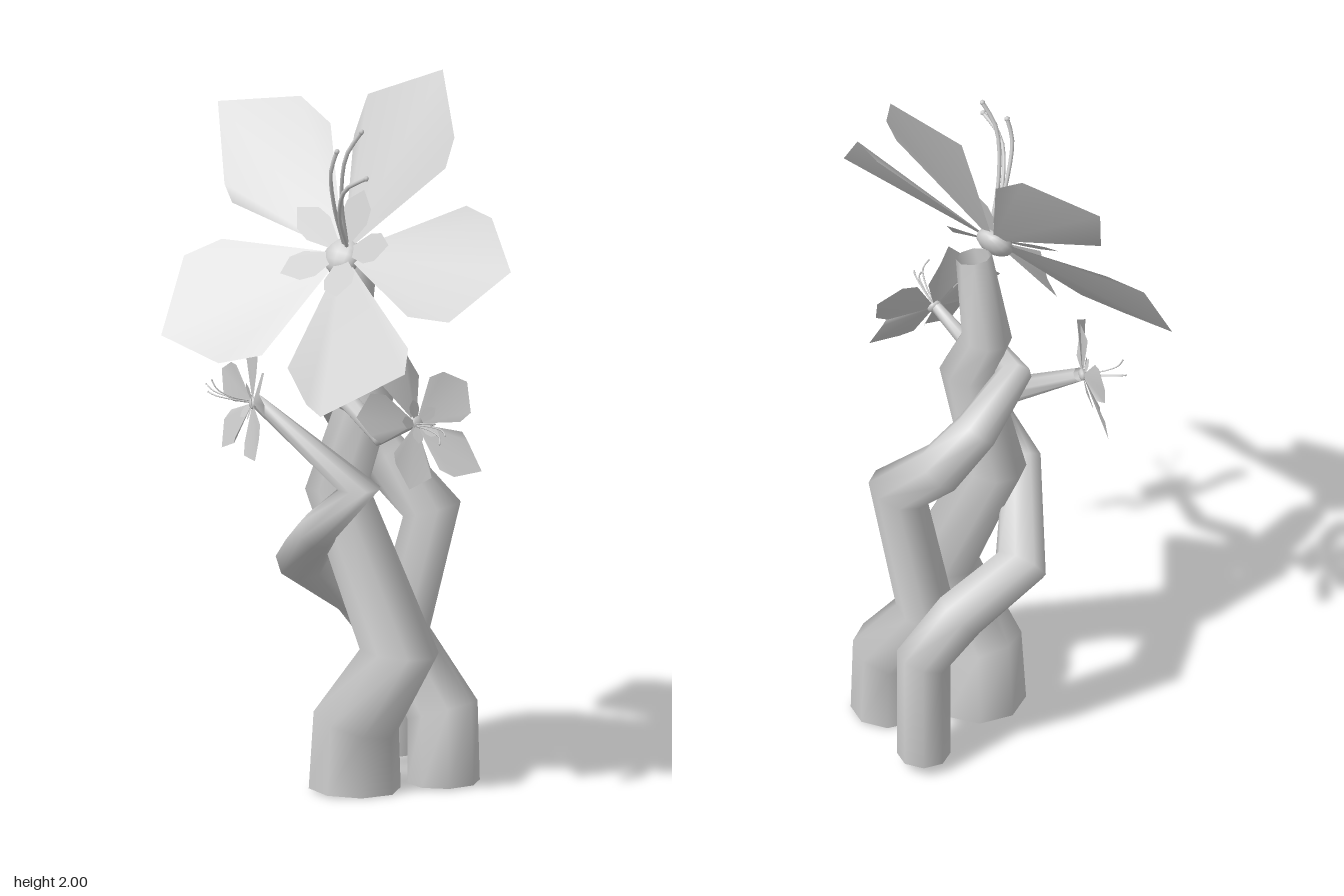
import * as THREE from 'three';

const grey = new THREE.MeshStandardMaterial({ color: 0xcccccc, side: THREE.DoubleSide });
grey.name = 'light grey';

function meshOf(name, geometry) {
  const mesh = new THREE.Mesh(geometry, grey);
  mesh.name = name;
  return mesh;
}

function surface(positions, index) {
  const g = new THREE.BufferGeometry();
  g.setAttribute('position', new THREE.Float32BufferAttribute(positions, 3));
  g.setIndex(index);
  g.computeVertexNormals();
  return g;
}

// Tapered, open tube with mitred bends; each point is [x, y, z, radius]
function stem(name, points, sides = 8) {
  const p = points.map(([x, y, z]) => new THREE.Vector3(x, y, z));
  const last = p.length - 1;
  const positions = [], index = [];
  const side = new THREE.Vector3(1, 0, 0);
  p.forEach((c, i) => {
    const before = p[Math.max(i, 1)].clone().sub(p[Math.max(i, 1) - 1]).normalize();
    const after = p[Math.min(i + 1, last)].clone().sub(p[Math.min(i, last - 1)]).normalize();
    const t = before.clone().add(after).normalize();
    const bend = after.clone().sub(before).normalize();
    const widen = 1 / t.dot(after) - 1;
    side.addScaledVector(t, -side.dot(t)).normalize();
    const other = side.clone().cross(t);
    for (let k = 0; k < sides; k++) {
      const a = (k / sides) * Math.PI * 2;
      const v = side.clone().multiplyScalar(Math.cos(a)).addScaledVector(other, Math.sin(a));
      v.addScaledVector(bend, v.dot(bend) * widen).multiplyScalar(points[i][3]).add(c);
      positions.push(v.x, v.y, v.z);
      if (i < last) {
        const q = i * sides + k, r = i * sides + ((k + 1) % sides);
        index.push(q, q + sides, r, r, q + sides, r + sides);
      }
    }
  });
  return meshOf(name, surface(positions, index));
}

// Petal spread as a fan from the flower centre through its corner points
function petal(corners) {
  const index = [];
  for (let i = 1; i < corners.length; i++) index.push(0, i, i + 1);
  return surface([0, 0, 0, ...corners.flat()], index);
}

// Five slightly different outer petals, corners counter-clockwise
const outerPetals = [
  [[0.301, -0.163, 0.053], [0.433, -0.157, 0.056], [0.544, 0.03, 0.034], [0.443, 0.161, 0.067], [0.329, 0.195, 0.031]],
  [[0.261, 0.267, 0.093], [0.264, 0.352, 0.114], [0.156, 0.534, 0.128], [-0.041, 0.423, 0.124], [-0.073, 0.32, 0.06]],
  [[-0.152, 0.338, 0.069], [-0.251, 0.386, 0.105], [-0.483, 0.318, 0.121], [-0.383, 0.097, 0.09], [-0.327, 0.042, 0.107]],
  [[-0.352, -0.045, 0.047], [-0.435, -0.12, 0.063], [-0.422, -0.352, 0.04], [-0.215, -0.4, 0.043], [-0.103, -0.348, 0.03]],
  [[-0.03, -0.358, 0], [0.105, -0.472, 0.056], [0.209, -0.526, 0.13], [0.353, -0.324, 0.039], [0.328, -0.246, 0.033]],
].map(petal);

const innerPetal = petal([
  [0.09, -0.045, 0.035], [0.13, -0.042, 0.05], [0.17, 0, 0.065], [0.13, 0.042, 0.05], [0.09, 0.045, 0.035],
]);

// Whole flower facing `normal`, turned by `turn` degrees about it; `reach` stretches the stamens
function flower(name, center, normal, right, turn, scale, reach) {
  const group = new THREE.Group();
  group.name = name;
  const z = new THREE.Vector3(...normal).normalize();
  const x = new THREE.Vector3(...right);
  x.addScaledVector(z, -x.dot(z)).normalize();
  group.quaternion.setFromRotationMatrix(new THREE.Matrix4().makeBasis(x, z.clone().cross(x), z));
  group.rotateZ(THREE.MathUtils.degToRad(turn));
  group.position.set(...center);
  group.scale.setScalar(scale);

  outerPetals.forEach((geometry, i) => {
    const inner = meshOf('innerPetal', innerPetal);
    inner.rotation.z = 0.14 + (i * Math.PI * 2) / 5;
    inner.position.z = 0.005;
    group.add(meshOf('petal', geometry), inner);
  });

  // Flower heart
  const heart = meshOf('heart', new THREE.SphereGeometry(0.055, 12, 8));
  heart.scale.z = 0.6;
  heart.position.y = -0.01;
  group.add(heart);

  // Curved stamens with small tips
  for (const [u, v, h] of [[0.09, 0.25, 0.29], [0.16, 0.12, 0.29], [0.04, 0.18, 0.29]]) {
    const w = h * reach;
    const end = new THREE.Vector3(u, v, w);
    const path = new THREE.CatmullRomCurve3([
      new THREE.Vector3(u * 0.1, v * 0.1, 0.02),
      new THREE.Vector3(u * 0.22, v * 0.4, w * 0.5),
      new THREE.Vector3(u * 0.55, v * 0.75, w * 0.87),
      end,
    ]);
    group.add(meshOf('stamen', new THREE.TubeGeometry(path, 10, 0.006, 6)));
    const tip = meshOf('stamenTip', new THREE.SphereGeometry(0.008, 6, 5));
    tip.position.copy(end);
    group.add(tip);
  }
  return group;
}

export function createModel() {
  const model = new THREE.Group();
  model.name = 'floweringPlant';

  // Three intertwined stems
  model.add(
    stem('mainStem', [
      [-0.045, 0, -0.038, 0.127], [-0.04, 0.19, -0.038, 0.118], [0.1, 0.4, -0.046, 0.1],
      [-0.115, 0.83, -0.05, 0.083], [-0.018, 1.1, -0.055, 0.075], [-0.09, 1.25, -0.055, 0.067],
      [-0.04, 1.49, -0.055, 0.05],
    ]),
    stem('rightStem', [
      [0.102, 0, -0.247, 0.1], [0.1, 0.2, -0.245, 0.097], [-0.04, 0.4, -0.24, 0.078],
      [0.06, 0.755, -0.25, 0.073], [-0.085, 0.89, -0.225, 0.072], [-0.147, 1.01, -0.15, 0.063],
      [-0.157, 1.135, -0.02, 0.045], [0.02, 1.105, 0.07, 0.028], [0.14, 1.03, 0.1, 0.022],
      [0.26, 1.09, 0.1, 0.016],
    ]),
    stem('leftStem', [
      [-0.148, 0.03, -0.358, 0.073], [-0.148, 0.35, -0.358, 0.073], [-0.21, 0.485, -0.28, 0.075],
      [-0.275, 0.6, -0.11, 0.07], [-0.07, 0.74, 0.1, 0.055], [0.08, 0.88, 0.11, 0.042],
      [-0.24, 1.09, 0.15, 0.02],
    ]),
  );

  // One large flower and two small ones
  model.add(
    flower('largeFlower', [-0.04, 1.505, 0.02], [0.09, 0.6, 0.8], [1, 0, 0], 0, 1, 1),
    flower('smallRightFlower', [0.265, 1.085, 0.1], [0.87, 0.36, 0.25], [0, 0, -1], 159, 0.38, 1.45),
    flower('smallLeftFlower', [-0.245, 1.085, 0.16], [-0.58, 0.1, 0.8], [0.8, 0, 0.58], 87, 0.32, 1.2),
  );
  return model;
}
